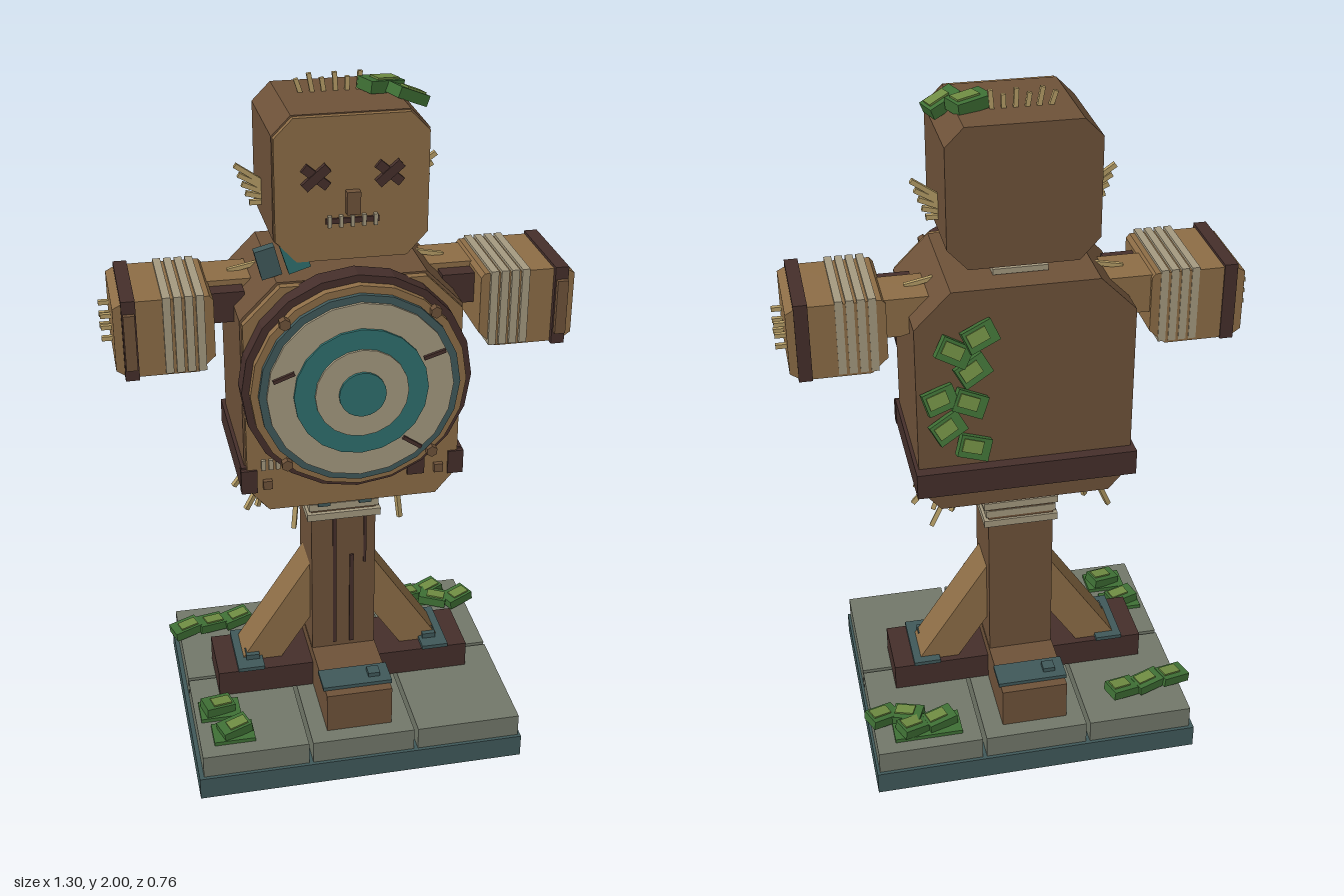
import * as THREE from 'three';

const mat = (name, color) => {
  const m = new THREE.MeshStandardMaterial({ color, flatShading: true });
  m.name = name;
  return m;
};

export function createModel() {
  const slate = mat('slate', 0x40595a), stone = mat('stone', 0x72786a), wood = mat('wood', 0x6e5239),
    dark = mat('dark wood', 0x452f2b), light = mat('light wood', 0x8d6d46), straw = mat('straw', 0xb59d66),
    rope = mat('rope', 0xa59a80), teal = mat('teal paint', 0x2f706e), green = mat('leaf green', 0x3f7035),
    lime = mat('leaf light', 0x6f8c42);
  const root = new THREE.Group();
  root.name = 'trainingDummy';

  const add = (name, geo, m, x = 0, y = 0, z = 0, rx = 0, ry = 0, rz = 0, parent = root) => {
    const mesh = new THREE.Mesh(geo, m);
    mesh.name = name;
    mesh.position.set(x, y, z);
    mesh.rotation.set(rx, ry, rz);
    parent.add(mesh);
    return mesh;
  };
  const box = (name, m, w, h, d, x, y, z, rx, ry, rz, parent) =>
    add(name, new THREE.BoxGeometry(w, h, d), m, x, y, z, rx, ry, rz, parent);
  // Box given by its limits on each axis
  const span = (name, m, x0, x1, y0, y1, z0, z1) =>
    box(name, m, Math.abs(x1 - x0), y1 - y0, z1 - z0, (x0 + x1) / 2, (y0 + y1) / 2, (z0 + z1) / 2);
  // Outline in x and y, pulled along z
  const prism = (name, m, pts, z0, z1) => {
    const shape = new THREE.Shape(pts.map(([x, y]) => new THREE.Vector2(x, y)));
    return add(name, new THREE.ExtrudeGeometry(shape, { depth: z1 - z0, bevelEnabled: false }), m, 0, 0, z0);
  };
  // Rectangle with cut corners: top cut ct, bottom cut cb, as [width, height]
  const octagon = (w, y0, y1, [tx, ty], [bx, by]) => [
    [-w + bx, y0], [w - bx, y0], [w, y0 + by], [w, y1 - ty],
    [w - tx, y1], [-w + tx, y1], [-w, y1 - ty], [-w, y0 + by]];
  const disc = (name, m, r, z0, z1, x, y, sides) =>
    add(name, new THREE.CylinderGeometry(r, r, z1 - z0, sides), m, x, y, (z0 + z1) / 2, Math.PI / 2);
  // Straw stick between two points
  const stick = (name, a, b, t = 0.012) => {
    const p = new THREE.Vector3(...a), q = new THREE.Vector3(...b), d = q.clone().sub(p);
    const s = box(name, straw, t, d.length(), t, 0, 0, 0);
    s.position.copy(p).add(q).multiplyScalar(0.5);
    s.quaternion.setFromUnitVectors(new THREE.Vector3(0, 1, 0), d.normalize());
  };
  const leaf = (x, y, z, rx, ry, rz, s = 1) => {
    const g = new THREE.Group();
    g.name = 'leaf';
    box('leafBody', green, 0.088 * s, 0.028 * s, 0.062 * s, 0, 0, 0, 0, 0, 0, g);
    box('leafTop', lime, 0.056 * s, 0.008, 0.036 * s, 0.008, 0.015 * s, 0.004, 0, 0, 0, g);
    g.position.set(x, y, z);
    g.rotation.set(rx, ry, rz);
    root.add(g);
  };

  // Base slab and paving stones
  span('baseSlab', slate, -0.483, 0.483, 0, 0.07, -0.378, 0.378);
  for (const [x0, x1] of [[-0.47, -0.16], [-0.148, 0.155], [0.167, 0.475]])
    for (const [z0, z1] of [[-0.368, -0.006], [0.006, 0.368]])
      span('pavingStone', stone, x0, x1, 0.07, 0.14, z0, z1);

  // Crossed foot beams with metal plates and bolts
  span('footBeamWide', dark, -0.385, 0.385, 0.14, 0.222, -0.095, 0.095);
  span('footBeamDeep', wood, -0.097, 0.097, 0.14, 0.265, -0.32, 0.32);
  for (const s of [-1, 1]) {
    box('footPlate', slate, 0.08, 0.012, 0.2, s * 0.285, 0.228, 0);
    box('footBolt', slate, 0.04, 0.016, 0.04, s * 0.275, 0.242, 0.04);
    box('footPlate', slate, 0.205, 0.012, 0.085, 0, 0.27, s * 0.25);
    box('footBolt', slate, 0.035, 0.014, 0.035, s * 0.055, 0.282, s * 0.25);
  }

  // Post with cracks and diagonal braces
  span('post', wood, -0.095, 0.095, 0.14, 0.87, -0.115, 0.08);
  span('postCrack', dark, -0.032, -0.022, 0.28, 0.72, 0.08, 0.084);
  span('postCrack', dark, 0.018, 0.03, 0.28, 0.59, 0.08, 0.086);
  span('postCrack', dark, 0.06, 0.068, 0.56, 0.72, 0.08, 0.084);
  for (const s of [-1, 1]) {
    const pts = [[s * 0.08, 0.57], [s * 0.08, 0.335], [s * 0.185, 0.222], [s * 0.31, 0.222]];
    pts[1][1] = 0.38;
    prism('brace', light, pts, -0.075, 0.045);
  }
  for (let i = 0; i < 4; i++)
    box('postRope', rope, 0.216 - (i % 2) * 0.012, 0.022, 0.215 - (i % 2) * 0.01, 0, 0.735 + i * 0.03, -0.015);
  for (const s of [-1, 1]) span('postStrap', slate, s * 0.06 - 0.018, s * 0.06 + 0.018, 0.775, 0.85, 0.08, 0.1);

  // Torso
  prism('torso', wood, octagon(0.3, 0.85, 1.52, [0.1, 0.1], [0.06, 0.07]), -0.18, 0.19);
  prism('torsoFront', light, octagon(0.295, 0.855, 1.515, [0.1, 0.1], [0.06, 0.07]), 0.19, 0.212);
  span('waistBand', dark, -0.31, 0.31, 0.915, 0.99, -0.213, 0.205);
  span('frontPatch', dark, 0.152, 0.2, 0.925, 0.98, 0.212, 0.22);
  for (const s of [-1, 1]) {
    span('cornerBracket', dark, s * 0.29 - 0.022, s * 0.29 + 0.022, 0.915, 0.985, 0.19, 0.218);
    box('torsoBolt', wood, 0.025, 0.025, 0.02, s * 0.24, 0.94, 0.216);
  }
  for (let i = 0; i < 4; i++) box('torsoStitch', rope, 0.012, 0.03, 0.01, -0.25 + i * 0.02, 1.0, 0.216);

  // Painted target, rings stepping forward to the middle
  const cy = 1.245;
  [['targetRim', dark, 0.31, 0.2, 0.262], ['targetBoard', light, 0.29, 0.262, 0.285],
    ['targetEdge', slate, 0.27, 0.285, 0.298], ['ringOuter', rope, 0.25, 0.298, 0.306],
    ['ringMiddle', teal, 0.18, 0.306, 0.314], ['ringInner', rope, 0.125, 0.314, 0.321],
    ['bullseye', teal, 0.063, 0.321, 0.329]]
    .forEach(([n, m, r, z0, z1]) => disc(n, m, r, z0, z1, 0, cy, 20));
  for (const sx of [-1, 1]) for (const sy of [-1, 1])
    disc('targetBolt', wood, 0.016, 0.28, 0.304, sx * 0.198, cy + sy * 0.205, 6);
  for (const [x, y, a] of [[-0.205, 1.305, 0.35], [0.195, 1.335, 0.3], [0.14, 1.08, -0.6]])
    box('targetCrack', dark, 0.06, 0.01, 0.012, x, y, 0.308, 0, 0, a);

  // Straw hanging from the torso
  for (const s of [-1, 1])
    for (let i = 0; i < 8; i++) {
      const z = 0.12 - ((i * 3) % 8) * 0.035, x = 0.14 + i * 0.013;
      stick('strawFringe', [s * x, 0.88, z], [s * (x + 0.015 + i * 0.008), 0.735 + ((i * 5) % 4) * 0.018, z + 0.01], 0.013);
    }

  // Neck
  span('neck', wood, -0.06, 0.06, 1.5, 1.6, -0.09, 0.05);
  for (const y of [1.53, 1.553]) box('neckRope', rope, 0.15, 0.016, 0.16, 0, y, -0.025);

  // Head with face
  prism('head', wood, octagon(0.203, 1.565, 1.95, [0.05, 0.05], [0.055, 0.06]), -0.15, 0.165);
  prism('facePlate', light, octagon(0.2, 1.568, 1.947, [0.05, 0.05], [0.055, 0.06]), 0.165, 0.182);
  for (const s of [-1, 1]) for (const a of [-0.7, 0.7])
    box('crossEye', dark, 0.08, 0.024, 0.014, s * 0.095, 1.795, 0.188 + a * 0.003, 0, 0, a);
  span('nose', wood, -0.018, 0.018, 1.695, 1.755, 0.182, 0.205);
  span('mouth', dark, -0.07, 0.07, 1.668, 1.682, 0.182, 0.189);
  for (let i = 0; i < 5; i++) box('mouthStitch', rope, 0.01, 0.03, 0.012, -0.06 + i * 0.03, 1.675, 0.189);

  // Straw ears and hair
  for (const s of [-1, 1])
    for (let i = 0; i < 5; i++)
      stick('strawEar', [s * 0.19, 1.665 + i * 0.012, -0.022], [s * (0.235 + i * 0.009), 1.665 + i * 0.026, -0.022], 0.013);
  for (let i = 0; i < 6; i++)
    stick('strawHair', [-0.09 + i * 0.03, 1.94, 0 - 0.033], [-0.105 + i * 0.034, 1.985 + (i % 2) * 0.013, -0.033]);

  // Scarf knot
  box('scarfEnd', slate, 0.055, 0.08, 0.03, -0.215, 1.56, 0.14, 0, 0, 0.25);
  box('scarfKnot', teal, 0.06, 0.08, 0.03, -0.148, 1.583, 0.165, 0, 0, 0.3);

  // Arms with wrapped mitts
  for (const s of [-1, 1]) {
    const side = (x0, x1, ...r) => (s > 0 ? [x0, x1, ...r] : [-x1, -x0, ...r]);
    const flip = pts => pts.map(([x, y]) => [s * x, y]);
    prism('upperArm', light, flip([[0.2, 1.4], [0.32, 1.365], [0.39, 1.365], [0.39, 1.475], [0.2, 1.475]]), -0.1, 0.04);
    span('shoulderBlock', dark, ...side(0.27, 0.36, 1.375, 1.46, -0.08, 0.09));
    prism('mitt', light, flip([[0.36, 1.31], [0.405, 1.268], [0.59, 1.268], [0.622, 1.29],
      [0.622, 1.465], [0.59, 1.482], [0.37, 1.482], [0.36, 1.47]]), -0.11, 0.153);
    for (let i = 0; i < 4; i++)
      span('mittRope', rope, ...side(0.385 + i * 0.029, 0.406 + i * 0.029, 1.275, 1.49, -0.112, 0.163));
    span('mittBand', dark, ...side(0.563, 0.6, 1.265, 1.49, -0.114, 0.168));
    span('mittEdge', wood, ...side(0.567, 0.597, 1.3, 1.455, 0.168, 0.182));
    for (const z of [-0.04, 0.05]) for (const y of [1.34, 1.372, 1.405])
      box('knuckleNail', straw, 0.035, 0.012, 0.013, s * 0.633, y, z);
    stick('shoulderStraw', [s * 0.2, 1.495, -0.025], [s * 0.3, 1.475, -0.025]);
  }

  // Leaves on the head and vine on the back
  leaf(0.115, 1.965, -0.015, 0, 0.35, -0.1, 1.15);
  leaf(0.175, 1.95, 0.04, 0, 0.3, -0.4, 1.05);
  [[0.13, 1.4, 0.4], [0.2, 1.36, -0.5], [0.15, 1.3, 0.5], [0.24, 1.22, 0.3], [0.16, 1.2, -0.4],
    [0.22, 1.13, 0.5], [0.15, 1.06, -0.3]]
    .forEach(([x, y, a]) => leaf(x, y, -0.205, -Math.PI / 2 + 0.3, a, 0.1));

  // Moss patches and leaves on the paving
  for (const [x, z, w, d] of [[-0.395, 0.17, 0.12, 0.085], [-0.37, 0.28, 0.12, 0.085], [0.32, -0.285, 0.2, 0.09]])
    box('moss', green, w, 0.012, d, x, 0.146, z);
  [[-0.45, -0.235, 0.3], [-0.37, -0.248, 0.3], [-0.285, -0.262, 0.3], [0.28, -0.28, 0.3], [0.36, -0.295, 0.4],
    [0.37, -0.245, -0.4], [0.445, -0.235, 0.4], [-0.4, 0.17, 0.25], [-0.365, 0.278, 0.3]]
    .forEach(([x, z, a], i) => leaf(x, 0.165, z, 0, a, 0.12 - (i % 2) * 0.2));
  return root;
}
